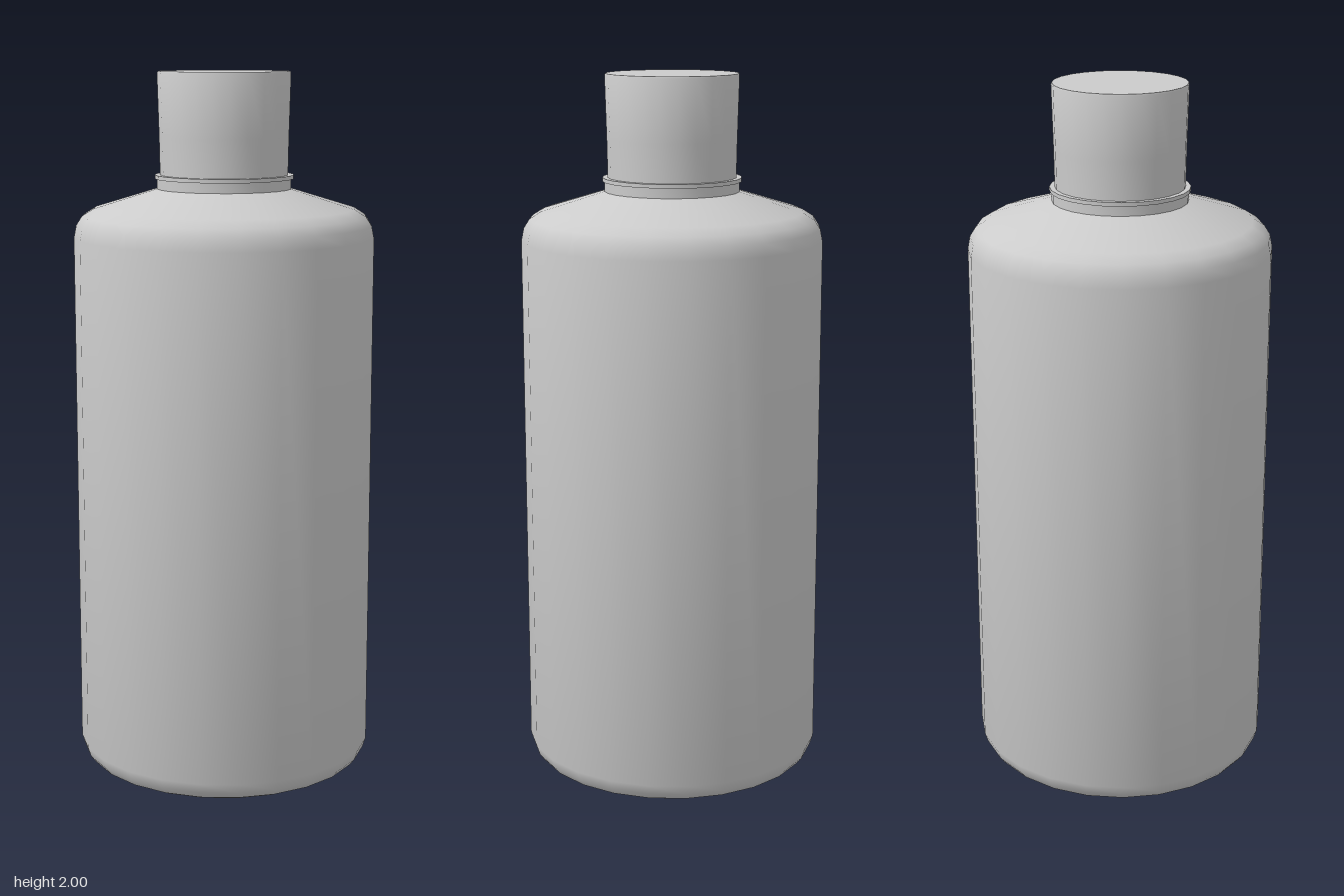
import * as THREE from 'three';
import { toCreasedNormals } from 'three/addons/utils/BufferGeometryUtils.js';

const SEGMENTS = 24;

export function createModel() {
  const group = new THREE.Group();
  const material = new THREE.MeshStandardMaterial({ color: 0xcccccc });

  // Turns a [radius, height] profile, listed bottom to top, into a named part
  function addTurned(name, profile, crease) {
    const points = profile.map(([r, y]) => new THREE.Vector2(r, y));
    const lathe = new THREE.LatheGeometry(points, SEGMENTS);
    const mesh = new THREE.Mesh(toCreasedNormals(lathe, crease), material);
    mesh.name = name;
    group.add(mesh);
  }

  // Flat underside with a crisp edge against the rounded base
  addTurned('base', [[0, 0], [0.375, 0]], 0.6);

  // Body wall with rounded bottom edge and sloping shoulder
  addTurned('body', [
    [0.375, 0], [0.4, 0.012], [0.416, 0.032], [0.425, 0.06],
    [0.425, 1.54], [0.418, 1.575], [0.402, 1.6], [0.37, 1.62],
    [0.19, 1.675],
  ], 0.7);

  // Short neck below the cap
  addTurned('neck', [[0.19, 1.67], [0.19, 1.71], [0, 1.71]], 0.6);

  // Thin collar ring
  addTurned('collar', [
    [0.18, 1.703], [0.196, 1.703], [0.196, 1.714], [0.18, 1.714],
  ], 0.6);

  // Cap, slightly wider towards its flat top
  addTurned('cap', [
    [0, 1.71], [0.181, 1.71], [0.183, 1.82], [0.188, 1.995], [0.186, 2], [0, 2],
  ], 0.6);

  return group;
}
